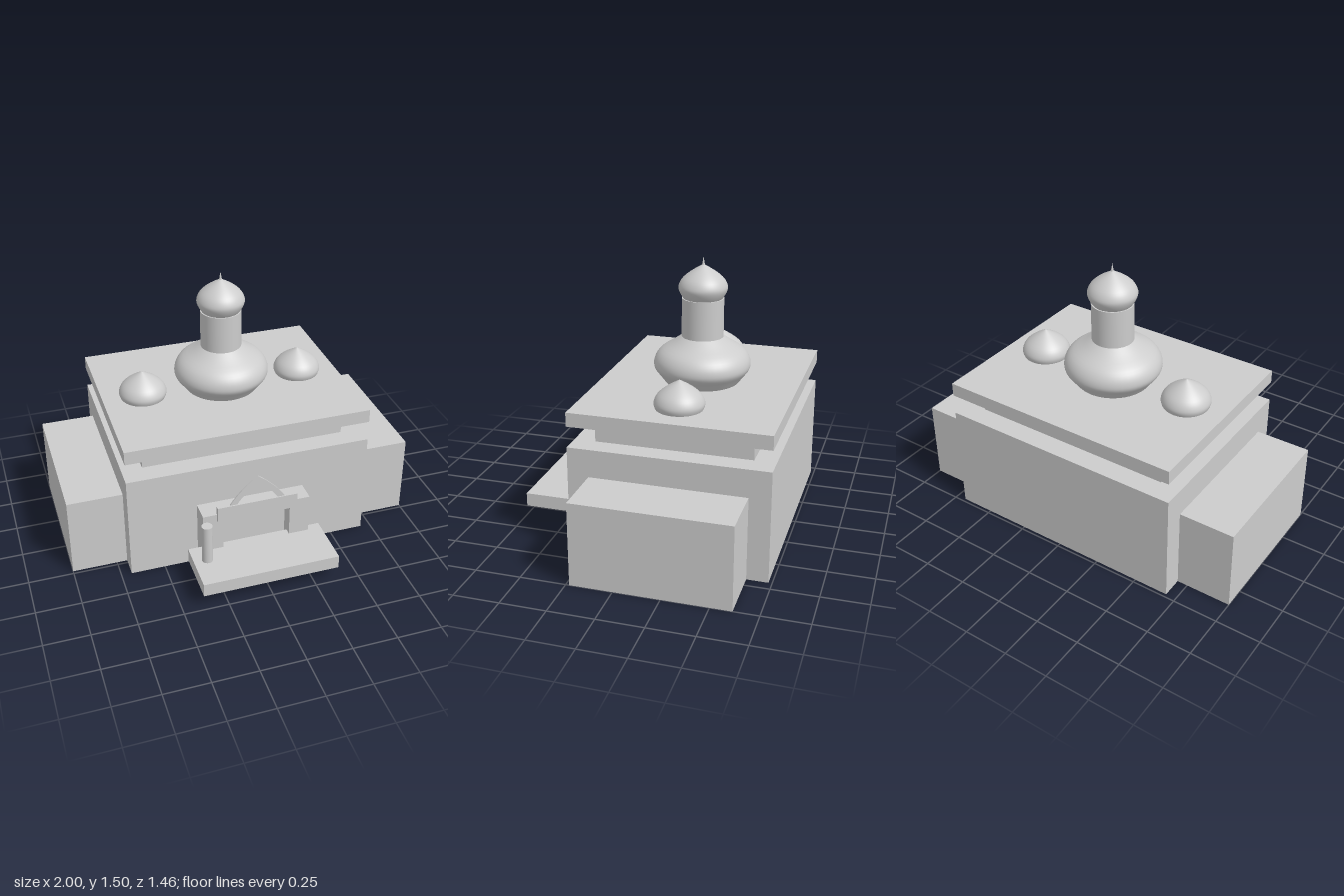
import * as THREE from 'three';

export function createModel() {
  const model = new THREE.Group();
  const stone = new THREE.MeshStandardMaterial({ color: 0xcccccc });
  stone.name = 'paleStone';
  const U = 1 / 26; // building module

  const add = (name, geometry, x = 0, y = 0, z = 0) => {
    const mesh = new THREE.Mesh(geometry, stone);
    mesh.name = name;
    mesh.position.set(x, y, z);
    model.add(mesh);
    return mesh;
  };
  // Box given by its limits
  const box = (name, x0, x1, y0, y1, z0, z1) =>
    add(name, new THREE.BoxGeometry(x1 - x0, y1 - y0, z1 - z0),
      (x0 + x1) / 2, (y0 + y1) / 2, (z0 + z1) / 2);
  // Smooth turned shape through a few profile points
  const turned = (points, steps = 20) => {
    const curve = new THREE.SplineCurve(points.map(([r, y]) => new THREE.Vector2(r, y)));
    const profile = curve.getPoints(steps);
    profile.forEach((p) => { p.x = Math.max(p.x, 0); });
    return new THREE.LatheGeometry(profile, 48);
  };

  // Main hall, stepped roof and side wings
  box('mainHall', -18 * U, 18 * U, 0, 16 * U, -19 * U, 9 * U);
  box('upperTier', -15 * U, 15 * U, 16 * U, 0.715, -16 * U, 6 * U);
  box('roofSlab', -18 * U, 18 * U, 19 * U, 21 * U, -19 * U, 9 * U);
  box('rightWing', -26 * U, -18 * U, 0, 12 * U, -16 * U, 6 * U);
  box('leftWing', 18 * U, 26 * U, 0, 12 * U, -16 * U, 6 * U);

  // Entrance porch with a recessed doorway
  for (const s of [-1, 1]) {
    const xs = [5 * U * s, 8 * U * s].sort((a, b) => a - b);
    box(s < 0 ? 'rightDoorJamb' : 'leftDoorJamb', xs[0], xs[1], 0, 10 * U, 9 * U, 12 * U);
  }
  box('doorPanel', -5 * U, 5 * U, 0, 9 * U, 9 * U, 10 * U);
  box('doorHead', -5 * U, 5 * U, 9 * U, 10 * U, 9 * U, 12 * U);
  box('lintel', -0.228, 0.228, 0.345, 0.435, 0.455, 0.477);
  box('entranceStep', -10 * U, 10 * U, 2 * U, 4 * U, 11 * U, 19 * U);
  add('porchColumn', new THREE.CylinderGeometry(0.03, 0.03, 10 * U, 24), -8 * U, 5 * U, 14 * U);

  // Pointed arch band above the lintel
  const arch = new THREE.Shape();
  arch.moveTo(-0.16, 0.43);
  arch.quadraticCurveTo(-0.095, 0.53, 0, 0.597);
  arch.quadraticCurveTo(0.095, 0.53, 0.16, 0.43);
  arch.lineTo(0.12, 0.43);
  arch.quadraticCurveTo(0.07, 0.505, 0, 0.55);
  arch.quadraticCurveTo(-0.07, 0.505, -0.12, 0.43);
  arch.closePath();
  add('pointedArch',
    new THREE.ExtrudeGeometry(arch, { depth: 0.008, bevelEnabled: false, curveSegments: 6 }), 0, 0, 0.462);

  // Central bulbous base, drum, onion dome and spike
  const cz = -5 * U;
  add('mainDome', turned([[0.205, 0.805], [0.235, 0.845], [0.261, 0.88], [0.267, 0.91],
    [0.257, 0.947], [0.227, 0.985], [0.165, 1.025], [0.115, 1.06]]), 0, 0, cz);
  add('drum', new THREE.CylinderGeometry(0.115, 0.115, 0.23, 48), 0, 1.16, cz);
  const onion = turned([[0.1, 0], [0.118, 0.025], [0.132, 0.055], [0.132, 0.08],
    [0.115, 0.113], [0.08, 0.145], [0.035, 0.175], [0, 0.195]]);
  add('topDome', onion, 0, 1.265, cz);
  add('spike', new THREE.ConeGeometry(0.009, 0.05, 16), 0, 1.475, cz);

  // Small flanking domes, sunk into the roof
  for (const s of [-1, 1]) {
    add(s < 0 ? 'rightSmallDome' : 'leftSmallDome', onion, 12 * U * s, 0.767, cz);
  }
  return model;
}
